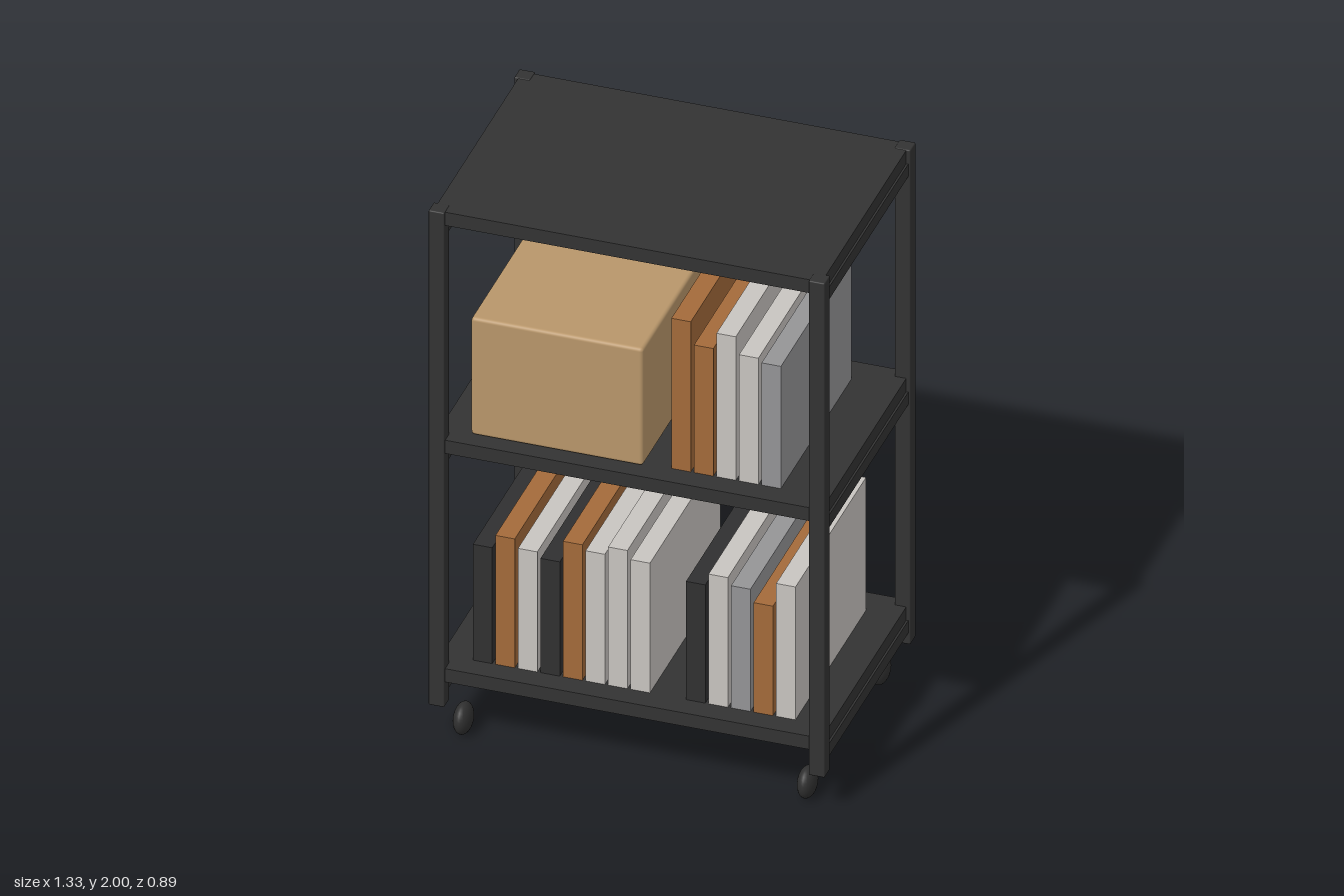
import * as THREE from 'three';
import { RoundedBoxGeometry } from 'three/addons/geometries/RoundedBoxGeometry.js';

function material(name, color) {
  const m = new THREE.MeshStandardMaterial({ color });
  m.name = name;
  return m;
}

export function createModel() {
  const model = new THREE.Group();
  model.name = 'shelfCart';

  const frame = material('charcoal frame', 0x333333);
  const wheel = material('caster black', 0x2f2f2f);
  const cardboard = material('cardboard tan', 0xb8966a);
  const covers = {
    k: material('book black', 0x303031),
    b: material('book brown', 0xa36a3a),
    l: material('book pale grey', 0xc8c4c0),
    g: material('book mid grey', 0x949496),
  };

  function add(name, geometry, mat, x, y, z, parent = model) {
    const mesh = new THREE.Mesh(geometry, mat);
    mesh.name = name;
    mesh.position.set(x, y, z);
    parent.add(mesh);
    return mesh;
  }

  // Corner posts and casters
  const postGeo = new RoundedBoxGeometry(0.053, 1.86, 0.053, 2, 0.004);
  const casterGeo = new THREE.SphereGeometry(0.055, 24, 16);
  for (const sx of [-1, 1]) {
    for (const sz of [-1, 1]) {
      add('post', postGeo, frame, sx * 0.639, 1.07, sz * 0.417);
      add('caster', casterGeo, wheel, sx * 0.578, 0.056, sz * 0.355).scale.x = 0.56;
    }
  }

  // Shelves, each with a rail below both ends
  const shelfGeo = new THREE.BoxGeometry(1.304, 0.05, 0.866);
  const railGeo = new THREE.BoxGeometry(0.044, 0.047, 0.79);
  for (const top of [0.28, 1.14, 1.998]) {
    add('shelf', shelfGeo, frame, 0, top - 0.025, 0);
    for (const sx of [-1, 1]) add('endRail', railGeo, frame, sx * 0.637, top - 0.0735, 0);
  }

  // Storage box
  add('storageBox', new RoundedBoxGeometry(0.578, 0.44, 0.756, 3, 0.012), cardboard, -0.256, 1.363, 0.002);

  // Rows of upright books: [colour, top height]
  function bookRow(name, startX, base, books) {
    const row = new THREE.Group();
    row.name = name;
    books.forEach(([colour, top], i) => {
      const h = top - base;
      const geo = new THREE.BoxGeometry(0.065, h, 0.686);
      add('book', geo, covers[colour], startX + 0.0325 + i * 0.0757, base + h / 2, 0.013, row);
    });
    model.add(row);
  }
  bookRow('upperBooks', 0.121, 1.14, [['b', 1.705], ['b', 1.62], ['l', 1.68], ['l', 1.615], ['g', 1.6]]);
  bookRow('lowerBooksRight', -0.546, 0.28, [
    ['k', 0.716], ['b', 0.765], ['l', 0.732], ['k', 0.71],
    ['b', 0.79], ['l', 0.77], ['l', 0.8], ['l', 0.768],
  ]);
  bookRow('lowerBooksLeft', 0.17, 0.28, [['k', 0.725], ['l', 0.768], ['g', 0.74], ['b', 0.692], ['l', 0.78]]);

  return model;
}
